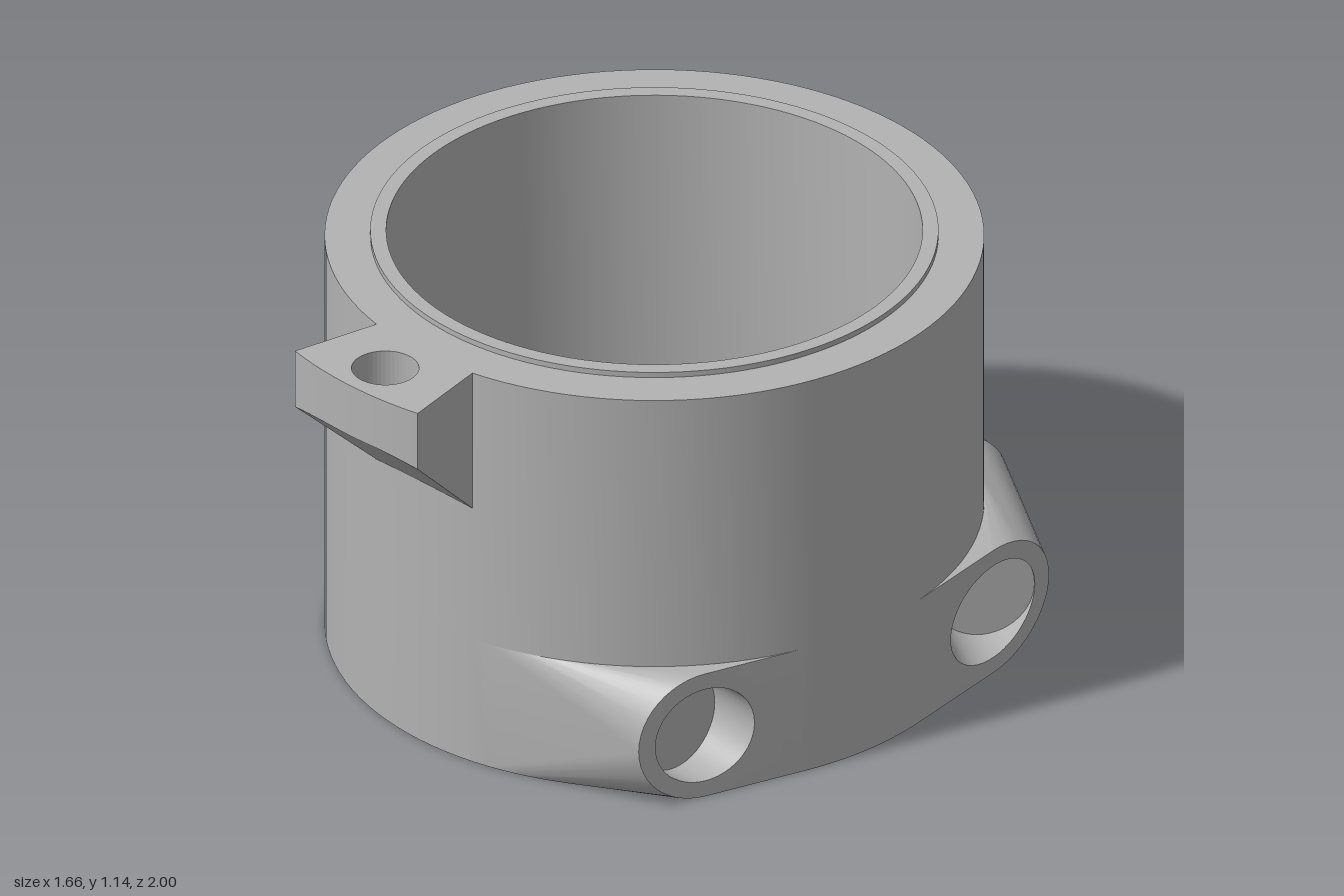
import * as THREE from 'three';
import { toCreasedNormals } from 'three/addons/utils/BufferGeometryUtils.js';
import { ConvexGeometry } from 'three/addons/geometries/ConvexGeometry.js';

const R = 0.178, H = 2 * R;          // boss radius, base height
const BODY = 0.83, INNER = 0.675, TOP = 1.13, FLOOR = 0.18;
const V2 = (x, z) => new THREE.Vector2(x, z);

// Bored bosses: outer corner p, bore direction d, inward normal n, direction e along the cut face
const bosses = [
  { p: V2(0.65, 0.695), d: V2(1, 0), n: V2(0, -1), e: V2(0.32, -1), depth: 0.1 },
  { p: V2(-0.65, -0.695), d: V2(-1, 0), n: V2(0, 1), e: V2(-0.32, 1), depth: 0.1 },
  { p: V2(0.74, -0.665), d: V2(0.845, 0.535), n: V2(-0.535, 0.845), e: V2(0.15, 1), depth: 0.12 },
];
bosses.forEach((b) => b.e.normalize());

// Ring of radius rad on the slanted boss face
function faceRing(b, rad, count = 48) {
  return Array.from({ length: count }, (_, i) => {
    const a = (i / count) * Math.PI * 2;
    const q = b.p.clone().addScaledVector(b.e, (R - rad * Math.cos(a)) / b.e.dot(b.n));
    return new THREE.Vector3(q.x, R + rad * Math.sin(a), q.y);
  });
}

// Square-cut ring at the bottom of the bore
function boreRing(b, rad, count = 48) {
  const c = b.p.clone().addScaledVector(b.e, R / b.e.dot(b.n)).addScaledVector(b.d, -b.depth);
  return Array.from({ length: count }, (_, i) => {
    const a = (i / count) * Math.PI * 2;
    const q = c.clone().addScaledVector(b.n, -rad * Math.cos(a));
    return new THREE.Vector3(q.x, R + rad * Math.sin(a), q.y);
  });
}

// Skin between successive closed rings
function loft(rings) {
  const n = rings[0].length, index = [];
  for (let j = 0; j < rings.length - 1; j++) {
    for (let i = 0; i < n; i++) {
      const a = j * n + i, b = j * n + (i + 1) % n;
      index.push(a, b, a + n, b, b + n, a + n);
    }
  }
  const g = new THREE.BufferGeometry().setFromPoints(rings.flat());
  g.setIndex(index);
  return toCreasedNormals(g, 0.5);
}

// Convex skirt round the base, open at top, bottom and bored faces
function baseSkirt() {
  const pts = [];
  for (let i = 0; i < 120; i++) {
    const a = (i / 120) * Math.PI * 2;
    for (const y of [0, H]) pts.push(new THREE.Vector3(BODY * Math.cos(a), y, BODY * Math.sin(a)));
  }
  bosses.forEach((b) => pts.push(...faceRing(b, R)));
  for (let i = 0; i < 48; i++) {       // mitred rear corner
    const a = (i / 48) * Math.PI * 2, k = Math.cos(a) - 1;
    pts.push(new THREE.Vector3(0.33 + 0.032 * k, R + R * Math.sin(a), -0.925 - 0.19 * k));
  }
  const pos = new ConvexGeometry(pts).attributes.position;
  const keep = [], rim = [];
  for (let i = 0; i < pos.count; i += 3) {
    const t = [0, 1, 2].map((k) => new THREE.Vector3().fromBufferAttribute(pos, i + k));
    const tri = new THREE.Triangle(...t);
    const normal = tri.getNormal(new THREE.Vector3()), c = tri.getMidpoint(new THREE.Vector3());
    if (Math.abs(normal.y) > 0.999) continue;
    const onFace = bosses.some((b) => {
      const q = V2(c.x, c.z).sub(b.p);
      const off = Math.abs(q.x * b.e.y - q.y * b.e.x);
      return off < 0.004 && Math.hypot(q.dot(b.n) - R, c.y - R) < R * 0.998;
    });
    if (onFace) continue;
    keep.push(...t);
    rim.push(...t.filter((v) => Math.abs(v.y - H) < 1e-4));
  }
  const outline = rim.map((v) => V2(v.x, v.z))
    .sort((a, b) => Math.atan2(a.y, a.x) - Math.atan2(b.y, b.x))
    .filter((v, i, all) => i === 0 || v.distanceTo(all[i - 1]) > 1e-4);
  const g = new THREE.BufferGeometry().setFromPoints(keep);
  return { geometry: toCreasedNormals(g, 0.45), outline };
}

function circleHole(x, y, r) {
  return new THREE.Path().absarc(x, y, r, 0, Math.PI * 2, true);
}

// Flat horizontal plate, facing up or down
function plate(shape, y, up) {
  const g = new THREE.ShapeGeometry(shape, 48);
  g.rotateX(up ? -Math.PI / 2 : Math.PI / 2);
  return g.translate(0, y, 0);
}

function lathe(points) {
  return toCreasedNormals(new THREE.LatheGeometry(points.map(([x, y]) => V2(x, y)), 120), 0.5);
}

// Tab outline in plan, flared towards its curved outer edge
function tabShape() {
  const s = new THREE.Shape(), a = Math.asin(0.22 / 1.075);
  s.moveTo(-0.162, -0.76);
  s.lineTo(-0.22, -1.075 * Math.cos(a));
  s.absarc(0, 0, 1.075, -Math.PI / 2 - a, -Math.PI / 2 + a, false);
  s.lineTo(0.162, -0.76);
  s.closePath();
  return s;
}

function extrudeUp(shape, y, height) {
  const g = new THREE.ExtrudeGeometry(shape, { depth: height, bevelEnabled: false, curveSegments: 24 });
  return g.rotateX(-Math.PI / 2).translate(0, y, 0);
}

export function createModel() {
  const group = new THREE.Group();
  const grey = new THREE.MeshStandardMaterial({ color: 0xb2b2b2, side: THREE.DoubleSide });
  grey.name = 'grey';
  const add = (name, geometry) => {
    const m = new THREE.Mesh(geometry, grey);
    m.name = name;
    m.position.z = -0.075;
    group.add(m);
    return m;
  };

  // Cup wall with raised lip
  add('cupWall', lathe([[BODY, H], [BODY, TOP], [0.715, TOP], [0.715, 1.145],
    [INNER, 1.145], [INNER, FLOOR]]));

  // Base skirt with its ledge and underside
  const { geometry, outline } = baseSkirt();
  add('baseSkirt', geometry);
  const ledge = new THREE.Shape(outline.map((v) => V2(v.x, -v.y)));
  ledge.holes.push(circleHole(0, 0, BODY - 0.02));
  add('baseLedge', plate(ledge, H, true));
  const under = new THREE.Shape(outline);
  const floor = new THREE.Shape().absarc(0, 0, INNER, 0, Math.PI * 2, false);
  for (const x of [-0.578, 0.578]) {
    under.holes.push(circleHole(x, 0, 0.086));
    floor.holes.push(circleHole(x, 0, 0.047));
    // Counterbored screw hole
    add('screwHole', lathe([[0.047, FLOOR], [0.047, 0.11], [0.086, 0.11], [0.086, 0]])).position.x = x;
  }
  add('underside', plate(under, 0, false));
  add('cupFloor', plate(floor, FLOOR, true));

  // Boss faces and blind bores
  for (const b of bosses) {
    add('bossFace', loft([faceRing(b, R), faceRing(b, 0.133)]));
    add('bossBore', loft([faceRing(b, 0.133), boreRing(b, 0.133), boreRing(b, 0.126), boreRing(b, 0)]));
  }

  // Low pads on the cup floor
  for (const a of [Math.PI, -0.34]) {
    const pad = add('floorPad', new THREE.BoxGeometry(0.145, 0.03, 0.2).translate(0, FLOOR + 0.015, 0.57));
    pad.rotation.y = a;
  }

  // Front tab: drilled plate over a sloping support
  const drilled = tabShape();
  drilled.holes.push(circleHole(0, -0.95, 0.085));
  add('tabPlate', extrudeUp(drilled, 0.985, TOP - 0.985));
  const support = extrudeUp(tabShape(), 0.74, 0.245);
  const p = support.attributes.position;
  for (let i = 0; i < p.count; i++) {
    if (p.getY(i) < 0.8) p.setY(i, Math.min(0.984, 0.74 + (p.getZ(i) - 0.815) * 0.96));
  }
  support.computeVertexNormals();
  add('tabSupport', support);
  return group;
}
